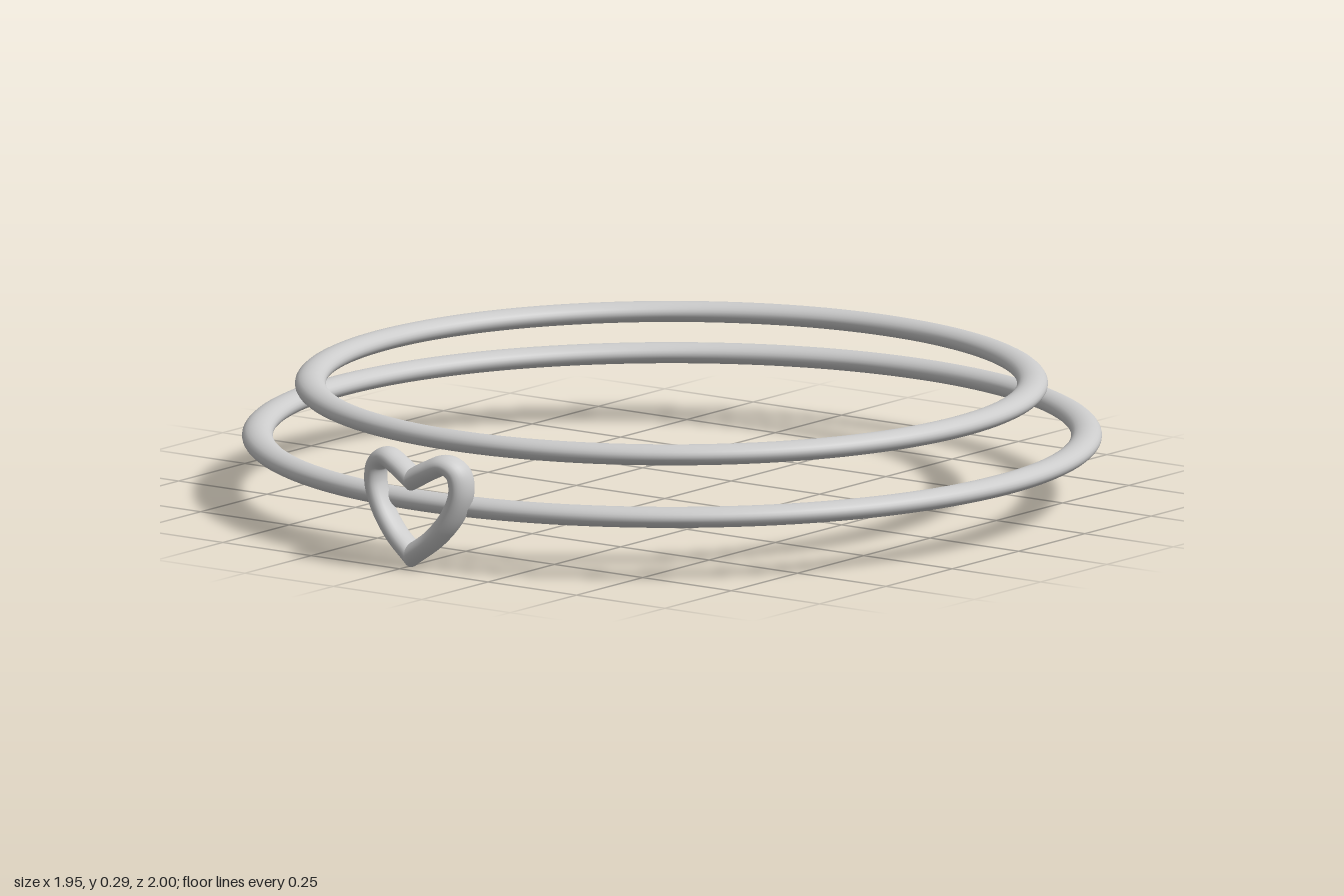
import * as THREE from 'three';

const HALF_DEPTH = 0.035;   // wire section is an ellipse: wide way
const HALF_THICK = 0.0233;  // and narrow way

const material = new THREE.MeshStandardMaterial({ color: 0xcccccc });

// Horizontal hoop of flattened wire
function hoop(name, outerRadius, y, z) {
  const geometry = new THREE.TorusGeometry(outerRadius - HALF_DEPTH, HALF_DEPTH, 24, 160);
  geometry.rotateX(-Math.PI / 2);
  geometry.scale(1, HALF_THICK / HALF_DEPTH, 1);
  const mesh = new THREE.Mesh(geometry, material);
  mesh.name = name;
  mesh.position.set(0, y, z);
  return mesh;
}

// One side of the heart: wire swept from the bottom tip over the lobe to the dip,
// mitred on the middle plane and bent slightly back towards the side
function heartHalf(side) {
  const curve = new THREE.CatmullRomCurve3([
    [0, 0.03], [0.055, 0.072], [0.1, 0.128], [0.121, 0.185],
    [0.113, 0.226], [0.083, 0.243], [0.045, 0.229], [0, 0.204],
  ].map(([x, y]) => new THREE.Vector3(x, y, 0)), false, 'centripetal');
  const steps = 64, sides = 24;
  const positions = [], indices = [];
  for (let i = 0; i <= steps; i++) {
    const c = curve.getPointAt(i / steps);
    const t = curve.getTangentAt(i / steps);
    const atMiddle = i === 0 || i === steps;
    for (let j = 0; j < sides; j++) {
      const angle = (j / sides) * Math.PI * 2;
      const offset = HALF_THICK * Math.cos(angle);
      let x = c.x + t.y * offset;
      let y = c.y - t.x * offset;
      if (atMiddle || x < 0) {
        y -= (x / t.x) * t.y;
        x = 0;
      }
      positions.push(side * x, y, 0.965 - 0.18 * x + HALF_DEPTH * Math.sin(angle));
    }
  }
  for (let i = 0; i < steps; i++) {
    for (let j = 0; j < sides; j++) {
      const k = (j + 1) % sides;
      const a = i * sides + j, b = a + sides;
      const d = i * sides + k, e = d + sides;
      if (side > 0) indices.push(a, b, e, a, e, d);
      else indices.push(a, e, b, a, d, e);
    }
  }
  const geometry = new THREE.BufferGeometry();
  geometry.setAttribute('position', new THREE.Float32BufferAttribute(positions, 3));
  geometry.setIndex(indices);
  geometry.computeVertexNormals();
  const mesh = new THREE.Mesh(geometry, material);
  mesh.name = side > 0 ? 'heartLeftHalf' : 'heartRightHalf';
  return mesh;
}

export function createModel() {
  const model = new THREE.Group();
  model.name = 'bangles';

  // Two bangles, the smaller one above
  model.add(hoop('lowerBangle', 0.973, 0.143, -0.027));
  model.add(hoop('upperBangle', 0.852, 0.263, -0.025));

  // Open heart charm on the front of the lower bangle
  const heart = new THREE.Group();
  heart.name = 'heartCharm';
  heart.position.x = 0.011;
  heart.add(heartHalf(1), heartHalf(-1));
  model.add(heart);

  return model;
}
